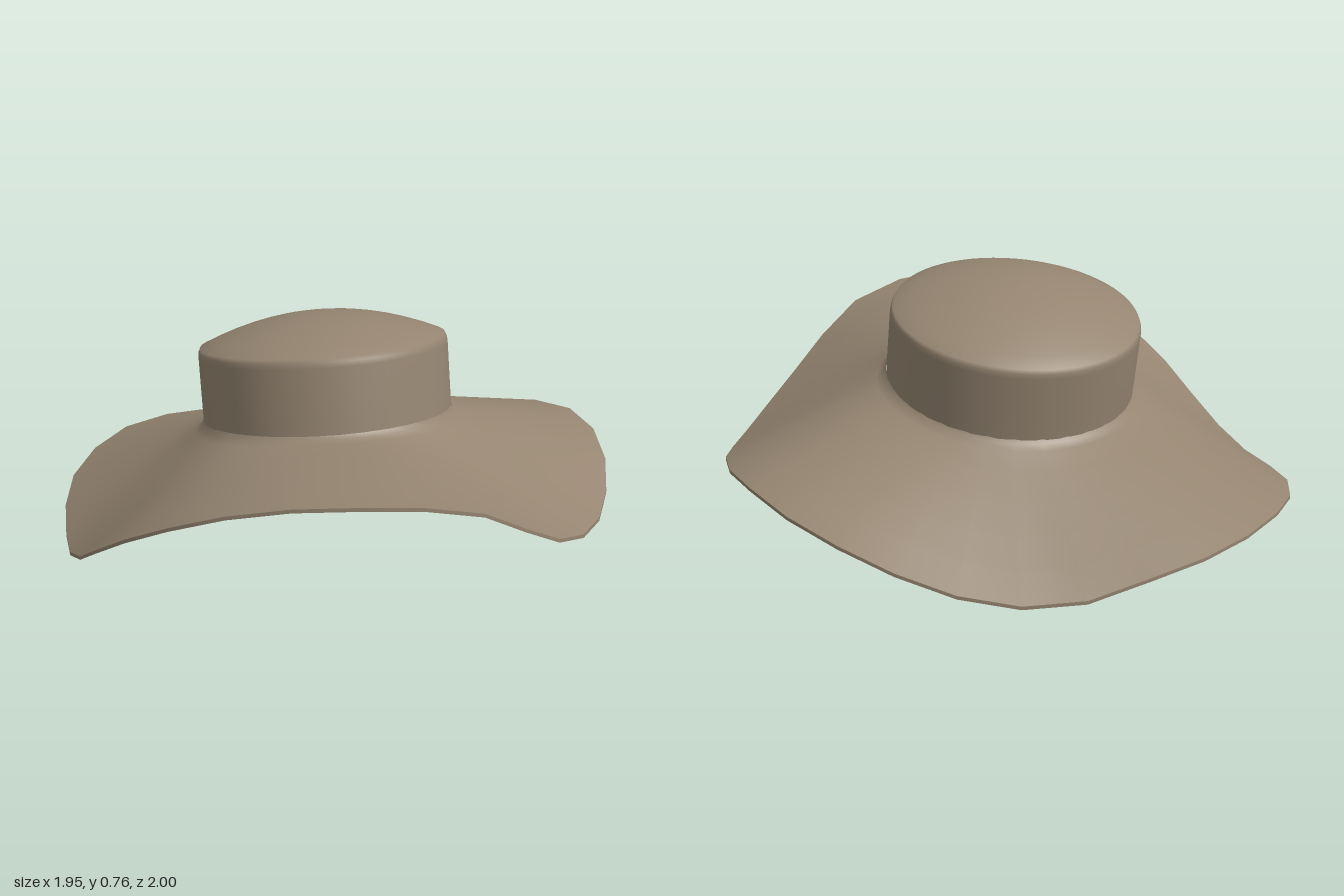
import * as THREE from 'three';

const felt = new THREE.MeshStandardMaterial({ color: 0x958571 });
felt.name = 'brownFelt';

const TILT = -0.155, RADIUS = 0.425;
const BASE = new THREE.Vector3(-0.04, 0.385, -0.015); // centre of the crown opening

// wavy brim edge, from the left side round by the back: x, y, z
const RIM = [
  [0.97, 0.25, -0.05], [0.945, 0.225, -0.25], [0.87, 0.18, -0.43], [0.76, 0.12, -0.58],
  [0.62, 0.06, -0.71], [0.46, 0.025, -0.82], [0.28, 0.03, -0.91], [0.09, 0.08, -0.975],
  [-0.1, 0.105, -1], [-0.29, 0.12, -0.98], [-0.48, 0.12, -0.91], [-0.64, 0.095, -0.8],
  [-0.77, 0.06, -0.65], [-0.855, 0.025, -0.47], [-0.91, 0.003, -0.28], [-0.955, 0.02, -0.08],
  [-0.975, 0.085, 0.11], [-0.97, 0.17, 0.27], [-0.93, 0.27, 0.45], [-0.845, 0.355, 0.61],
  [-0.72, 0.42, 0.745], [-0.56, 0.457, 0.86], [-0.38, 0.462, 0.945], [-0.2, 0.447, 0.99],
  [0, 0.395, 0.995], [0.17, 0.3, 0.955], [0.34, 0.205, 0.88], [0.5, 0.15, 0.775],
  [0.65, 0.13, 0.64], [0.78, 0.15, 0.485], [0.88, 0.195, 0.325], [0.95, 0.235, 0.14],
].map((p) => new THREE.Vector3(...p));

// ring at fraction t between crown opening and brim edge
function ring(t, lift, radius = RADIUS) {
  return RIM.map((p) => {
    const a = Math.atan2(p.z - BASE.z, p.x - BASE.x);
    const v = new THREE.Vector3(Math.cos(a) * radius, 0, Math.sin(a) * radius);
    v.applyAxisAngle(new THREE.Vector3(1, 0, 0), TILT).add(BASE).lerp(p, t);
    v.y += lift;
    return v;
  });
}

// smooth surface through closed rings
function loft(name, rings) {
  const n = RIM.length, index = [];
  for (let r = 0; r < rings.length - 1; r++) {
    for (let i = 0; i < n; i++) {
      const j = (i + 1) % n;
      const a = r * n + i, b = a + n, c = (r + 1) * n + j, d = r * n + j;
      index.push(a, b, c, a, c, d);
    }
  }
  const geo = new THREE.BufferGeometry().setFromPoints(rings.flat());
  geo.setIndex(index);
  geo.computeVertexNormals();
  const mesh = new THREE.Mesh(geo, felt);
  mesh.name = name;
  return mesh;
}

function lathe(name, points) {
  const geo = new THREE.LatheGeometry(points.map((p) => new THREE.Vector2(...p)), 64);
  const mesh = new THREE.Mesh(geo, felt);
  mesh.name = name;
  return mesh;
}

// crown wall with a rounded shoulder and a shallow dome
function crownProfile(inset) {
  const pts = [[RADIUS - inset, -0.005], [RADIUS - inset, 0.1], [RADIUS - inset, 0.245]];
  pts.push([RADIUS - 0.002 - inset, 0.262], [RADIUS - 0.008 - inset, 0.275 - inset]);
  for (let i = 1; i <= 8; i++) {
    const u = 1 - i / 8;
    pts.push([(RADIUS - 0.008 - inset) * u, 0.275 - inset + 0.095 * (1 - u * u)]);
  }
  return pts;
}

export function createModel() {
  const hat = new THREE.Group();
  hat.name = 'hat';

  // brim: upper face, lower face and thin edge
  const steps = [0.06, 0.2, 0.4, 0.6, 0.8, 1];
  const top = 0.009, bottom = -0.003;
  const brim = new THREE.Group();
  brim.name = 'brim';
  brim.add(
    loft('brimTop', [ring(0, 0.028), ring(0.02, 0.016), ...steps.map((t) => ring(t, top))]),
    loft('brimUnderside', [...steps.slice().reverse().map((t) => ring(t, bottom)), ring(0, bottom, RADIUS - 0.01)]),
    loft('brimEdge', [ring(1, top), ring(1, bottom)]),
  );

  // hollow crown, leaning back
  const crown = new THREE.Group();
  crown.name = 'crown';
  crown.position.copy(BASE);
  crown.rotation.x = TILT;
  crown.add(
    lathe('crownOuter', crownProfile(0)),
    lathe('crownLining', crownProfile(0.01).reverse()),
  );

  hat.add(brim, crown);
  return hat;
}
